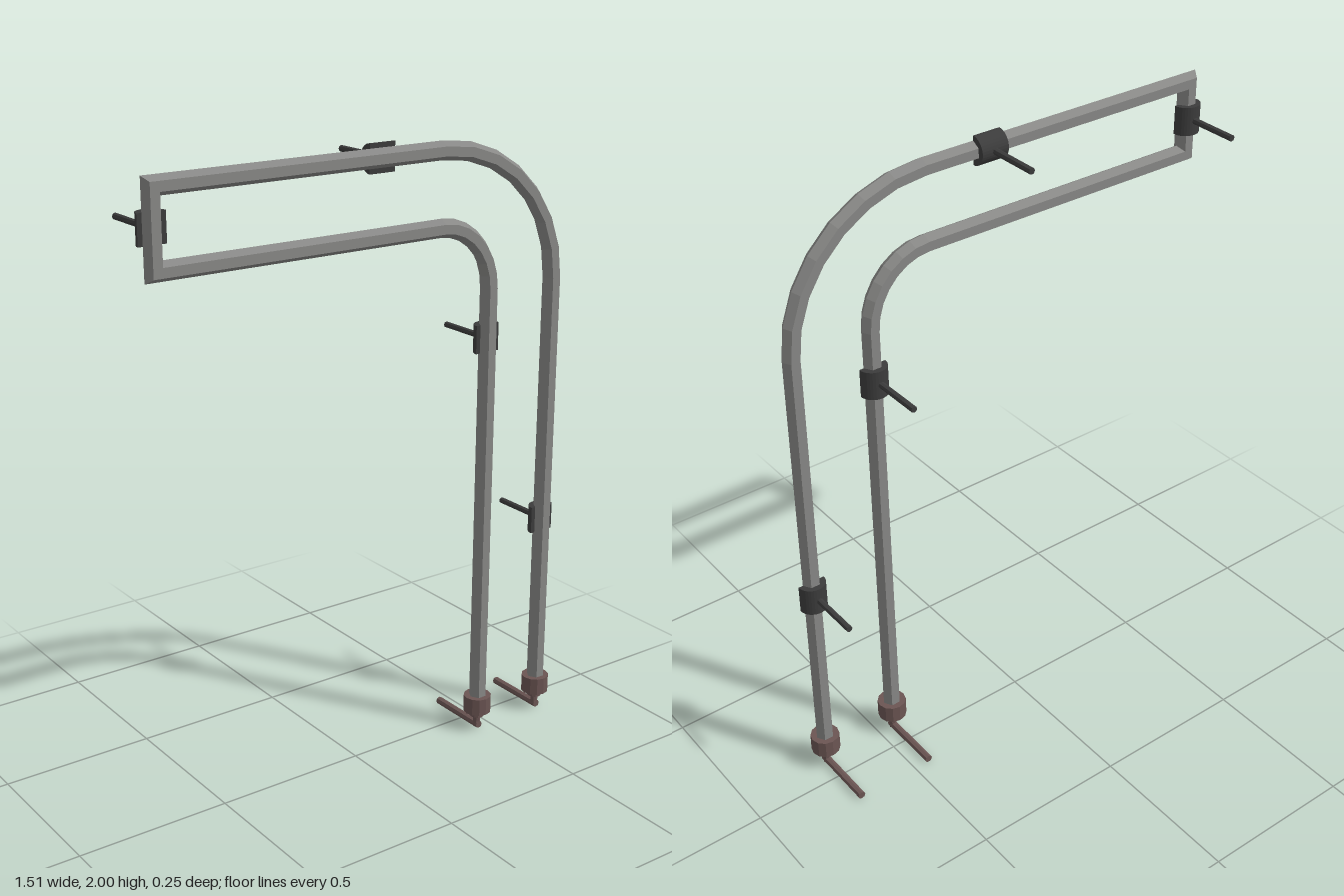
import * as THREE from 'three';

const Z = 0.078; // depth of the pipe plane
const mat = (color) => new THREE.MeshStandardMaterial({ color, flatShading: true });

// Six-sided tube swept along flat points, with mitred joints
function sweep(path, r, sides = 6) {
  const pos = [], idx = [], last = path.length - 1;
  path.forEach((p, i) => {
    const a = p.clone().sub(path[Math.max(i - 1, 0)]).normalize();
    const b = path[Math.min(i + 1, last)].clone().sub(p).normalize();
    const t = a.clone().add(b).normalize();
    const stretch = 1 / t.dot(i < last ? b : a);
    for (let j = 0; j < sides; j++) {
      const ang = (j / sides) * Math.PI * 2;
      const c = Math.cos(ang) * r * stretch;
      pos.push(p.x - t.y * c, p.y + t.x * c, Math.sin(ang) * r);
    }
  });
  for (let i = 0; i < last; i++) {
    for (let j = 0; j < sides; j++) {
      const k = (j + 1) % sides, A = i * sides, B = A + sides;
      idx.push(A + j, A + k, B + k, A + j, B + k, B + j);
    }
  }
  // End caps
  for (let j = 1; j < sides - 1; j++) {
    const E = last * sides;
    idx.push(0, j + 1, j, E, E + j, E + j + 1);
  }
  const g = new THREE.BufferGeometry();
  g.setAttribute('position', new THREE.Float32BufferAttribute(pos, 3));
  g.setIndex(idx);
  const flat = g.toNonIndexed();
  flat.computeVertexNormals();
  return flat;
}

// Quarter bend from the vertical leg to the horizontal run
function bend(x, y, steps) {
  const cx = 0.255, cy = 1.52, pts = [];
  for (let i = 0; i <= steps; i++) {
    const a = (i / steps) * Math.PI / 2;
    pts.push(new THREE.Vector2(cx + (x - cx) * Math.cos(a), cy + (y - cy) * Math.sin(a)));
  }
  return pts;
}

export function createModel() {
  const model = new THREE.Group();
  const steel = mat(0x888886), dark = mat(0x3c3c3c), brown = mat(0x6b5553);
  const add = (parent, name, geo, material) => {
    const m = new THREE.Mesh(geo, material);
    m.name = name;
    parent.add(m);
    return m;
  };
  const V = (x, y) => new THREE.Vector2(x, y);
  const outerX = 0.705, innerX = 0.448, endX = -0.714, topY = 1.958, lowY = 1.728;

  // Continuous bent pipe
  const path = [
    V(outerX, 0.1), ...bend(outerX, topY, 7),
    V(endX, topY), V(endX, lowY),
    ...bend(innerX, lowY, 7).reverse(), V(innerX, 0.1),
  ];
  add(model, 'pipe', sweep(path, 0.029), steel).position.z = Z;

  // Half-round clamp behind the pipe, with its wall rod
  const half = new THREE.Shape();
  half.absarc(0, 0, 0.044, Math.PI, Math.PI * 2, false);
  half.closePath();
  const saddle = new THREE.ExtrudeGeometry(half, { depth: 0.09, bevelEnabled: false, curveSegments: 8 });
  saddle.translate(0, 0, -0.045).rotateX(Math.PI / 2);
  const rod = new THREE.CylinderGeometry(0.01, 0.01, 0.175, 8).rotateX(Math.PI / 2);
  rod.translate(0, 0, -0.125 - Z + 0.0875);
  for (const [x, y, horizontal] of [
    [outerX, 0.7, false], [innerX, 1.36, false], [endX, 1.845, false], [0.038, topY, true],
  ]) {
    const clamp = new THREE.Group();
    clamp.name = 'clamp';
    clamp.position.set(x, y, Z);
    if (horizontal) clamp.rotation.z = Math.PI / 2;
    add(clamp, 'clampSaddle', saddle, dark);
    add(clamp, 'clampRod', rod, dark);
    model.add(clamp);
  }

  // End collars with a neck, a stub and a rod running to the back
  const collar = new THREE.LatheGeometry([
    V(0, 0.045), V(0.024, 0.045), V(0.024, 0.06), V(0.046, 0.064), V(0.046, 0.122), V(0, 0.122),
  ], 12);
  const stub = new THREE.CylinderGeometry(0.012, 0.012, 0.045, 8).translate(0, 0.0275, 0);
  const footRod = new THREE.CylinderGeometry(0.0125, 0.0125, 0.215, 8).rotateX(Math.PI / 2);
  footRod.translate(0, 0.0125, -0.125 - Z + 0.1075);
  for (const x of [innerX, outerX]) {
    const foot = new THREE.Group();
    foot.name = 'foot';
    foot.position.set(x, 0, Z);
    add(foot, 'collar', collar, brown);
    add(foot, 'stub', stub, brown);
    add(foot, 'footRod', footRod, brown);
    model.add(foot);
  }
  return model;
}
